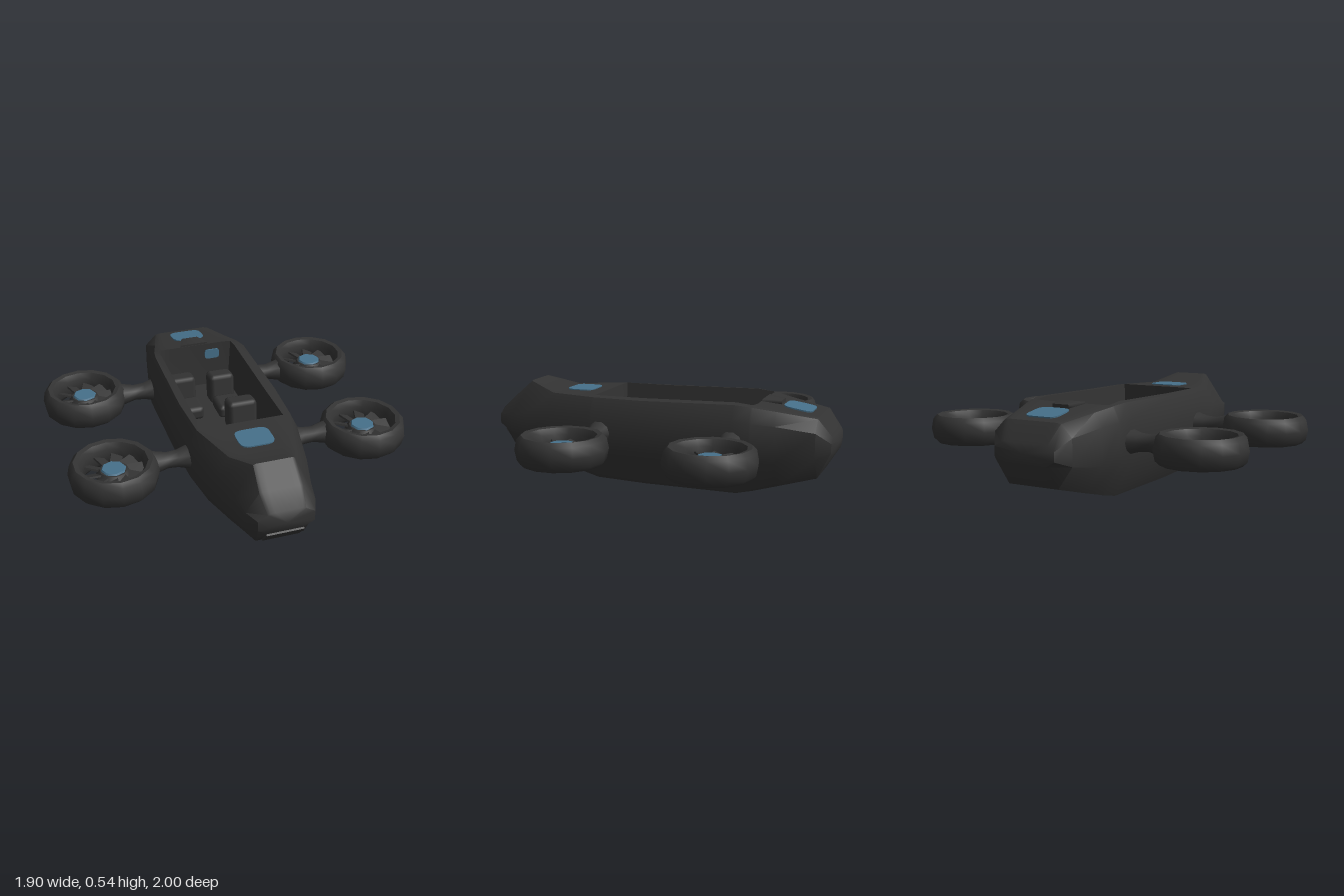
import * as THREE from 'three';
import { toCreasedNormals } from 'three/addons/utils/BufferGeometryUtils.js';
import { RoundedBoxGeometry } from 'three/addons/geometries/RoundedBoxGeometry.js';

const dark = new THREE.MeshStandardMaterial({ color: 0x333333 });
dark.name = 'charcoal';
const blue = new THREE.MeshStandardMaterial({ color: 0x46708a });
blue.name = 'steel blue';

function add(parent, name, geo, mat, x = 0, y = 0, z = 0, rx = 0, ry = 0, rz = 0) {
  const m = new THREE.Mesh(geo, mat);
  m.name = name;
  m.position.set(x, y, z);
  m.rotation.set(rx, ry, rz);
  parent.add(m);
  return m;
}

// Hull stations: z, top y, top half-width, side half-width, upper side y,
// lower side y, keel half-width, keel y, 1 where the cockpit is sunk
const FLOOR = 0.22;
const stations = [
  [-0.985, 0.34, 0.14, 0.18, 0.31, 0.26, 0.13, 0.23, 0],
  [-0.91, 0.44, 0.17, 0.235, 0.37, 0.23, 0.15, 0.11, 0],
  [-0.7, 0.475, 0.225, 0.275, 0.4, 0.2, 0.18, 0.055, 0],
  [-0.58, 0.495, 0.26, 0.3, 0.41, 0.2, 0.2, 0.025, 0],
  [-0.57, 0.497, 0.262, 0.302, 0.41, 0.2, 0.2, 0.022, 1],
  [-0.48, 0.507, 0.275, 0.312, 0.42, 0.2, 0.21, 0.004, 1],
  [0.05, 0.497, 0.28, 0.315, 0.41, 0.2, 0.21, 0.01, 1],
  [0.33, 0.497, 0.265, 0.305, 0.41, 0.2, 0.205, 0.02, 1],
  [0.34, 0.497, 0.264, 0.304, 0.41, 0.2, 0.205, 0.022, 0],
  [0.62, 0.492, 0.18, 0.25, 0.38, 0.21, 0.17, 0.085, 0],
  [0.79, 0.54, 0.11, 0.205, 0.36, 0.22, 0.145, 0.125, 0],
  [0.9, 0.445, 0.115, 0.185, 0.34, 0.24, 0.13, 0.15, 0],
  [0.985, 0.37, 0.1, 0.15, 0.335, 0.28, 0.1, 0.255, 0],
];

function section([z, yt, wt, wm, yh, yl, wb, yb, open]) {
  const r = open ? 0.22 : wt * 0.85, l = open ? -0.238 : -wt * 0.85;
  const fy = open ? FLOOR : yt, fr = open ? 0.205 : wt * 0.6;
  return [[r, yt], [wt, yt - 0.005], [wm, yh], [wm, yl], [wb, yb], [-wb, yb],
    [-wm, yl], [-wm, yh], [-wt, yt - 0.005], [l, yt], [-fr, fy], [fr, fy]]
    .map(([x, y]) => [x, y, z]);
}

function hullGeometry() {
  const rings = stations.map(section), n = rings[0].length;
  const pos = rings.flat(2), index = [];
  for (let i = 0; i < rings.length - 1; i++) {
    for (let j = 0; j < n; j++) {
      const k = (j + 1) % n;
      const a = i * n + j, b = i * n + k, c = b + n, d = a + n;
      index.push(a, d, c, a, c, b);
    }
  }
  // blunt tail and nose tips
  const tail = rings.length * n, nose = tail + 1, last = (rings.length - 1) * n;
  pos.push(0, 0.29, -1, 0, 0.31, 1);
  for (let j = 0; j < n; j++) {
    const k = (j + 1) % n;
    index.push(tail, j, k, nose, last + k, last + j);
  }
  const g = new THREE.BufferGeometry();
  g.setAttribute('position', new THREE.Float32BufferAttribute(pos, 3));
  g.setIndex(index);
  return toCreasedNormals(g, 0.7);
}

// Thin plate with rounded corners, lying flat
function plateGeometry(w, h, r) {
  const s = new THREE.Shape(), x = w / 2, y = h / 2;
  s.moveTo(-x + r, -y);
  s.lineTo(x - r, -y); s.quadraticCurveTo(x, -y, x, -y + r);
  s.lineTo(x, y - r); s.quadraticCurveTo(x, y, x - r, y);
  s.lineTo(-x + r, y); s.quadraticCurveTo(-x, y, -x, y - r);
  s.lineTo(-x, -y + r); s.quadraticCurveTo(-x, -y, -x + r, -y);
  return new THREE.ExtrudeGeometry(s, { depth: 0.008, bevelEnabled: false, curveSegments: 4 })
    .rotateX(-Math.PI / 2);
}

// Ducted fan: ring, blades, hub and blue hub cap
const ringProfile = [[0.165, 0.04], [0.185, 0.073], [0.21, 0.078], [0.232, 0.055], [0.243, 0],
  [0.232, -0.055], [0.21, -0.076], [0.185, -0.07], [0.165, -0.04], [0.165, 0.04]]
  .map(([x, y]) => new THREE.Vector2(x, y)).reverse();
const ringGeo = toCreasedNormals(new THREE.LatheGeometry(ringProfile, 14), 0.8);
const bladeGeo = new THREE.BoxGeometry(0.11, 0.01, 0.066);
const hubGeo = new THREE.CylinderGeometry(0.075, 0.1, 0.035, 10);
const capGeo = new THREE.CylinderGeometry(0.062, 0.068, 0.009, 8);

function fan(name, x, z) {
  const g = new THREE.Group();
  g.name = name;
  g.position.set(x, 0.3, z);
  add(g, 'ductRing', ringGeo, dark);
  add(g, 'hub', hubGeo, dark, 0, 0.005);
  add(g, 'hubCap', capGeo, blue, 0, 0.027);
  for (let i = 0; i < 10; i++) {
    const holder = new THREE.Group();
    holder.name = 'blade' + (i + 1);
    holder.rotation.y = (i / 10) * Math.PI * 2;
    add(holder, 'blade', bladeGeo, dark, 0.118, 0, 0, 0.4);
    g.add(holder);
  }
  return g;
}

// Arm, waisted in the middle, lying along x
const armGeo = new THREE.LatheGeometry([[0.075, -0.11], [0.05, -0.03], [0.046, 0.03], [0.066, 0.11]]
  .map(([r, y]) => new THREE.Vector2(r, y)), 10).rotateZ(-Math.PI / 2);

export function createModel() {
  const model = new THREE.Group();
  model.name = 'fanCraft';
  add(model, 'hull', hullGeometry(), dark);

  // fans and arms on both sides
  for (const [side, s] of [['left', 1], ['right', -1]]) {
    for (const [end, z, az] of [['Front', 0.31, 0.285], ['Rear', -0.49, -0.47]]) {
      model.add(fan(side + end + 'Fan', s * 0.715, z));
      add(model, side + end + 'Arm', armGeo, dark, s * 0.39, 0.3, az, 0, s > 0 ? 0 : Math.PI);
    }
  }

  // seats: x, z of the back, width
  const seats = [[-0.14, -0.4, 0.15], [0.09, -0.37, 0.15], [0.11, -0.04, 0.17]];
  seats.forEach(([x, z, w], i) => {
    const seat = new THREE.Group();
    seat.name = 'seat' + (i + 1);
    seat.position.set(x, FLOOR, z);
    add(seat, 'backrest', new RoundedBoxGeometry(w, 0.18, 0.12, 1, 0.025), dark, 0, 0.09, 0, -0.12);
    add(seat, 'cushion', new RoundedBoxGeometry(w, 0.08, 0.16, 1, 0.025), dark, 0, 0.04, 0.15);
    model.add(seat);
  });
  // sloped footwell panel
  add(model, 'footwellPanel', new THREE.BoxGeometry(0.18, 0.04, 0.16), dark, 0.11, 0.27, 0.23, -0.5);

  // headrest fairing behind the cockpit
  const fairing = new THREE.CylinderGeometry(0.07, 0.12, 0.1, 4).rotateY(Math.PI / 4);
  fairing.rotateX(-Math.PI / 2).scale(1, 0.22, 1);
  add(model, 'headrestFairing', fairing, dark, -0.01, 0.487, -0.635);

  // blue panels
  const panel = plateGeometry(0.19, 0.16, 0.05);
  add(model, 'frontPanel', panel, blue, 0, 0.492, 0.5);
  add(model, 'rearPanel', panel, blue, 0, 0.461, -0.78, -0.165);
  add(model, 'cockpitPanel', plateGeometry(0.09, 0.06, 0.02), blue, 0.1, 0.43, -0.571, Math.PI / 2);

  // chin lip under the nose
  add(model, 'chinLip', new THREE.BoxGeometry(0.2, 0.1, 0.02), dark, 0, 0.2, 0.94, 0.69);
  return model;
}
